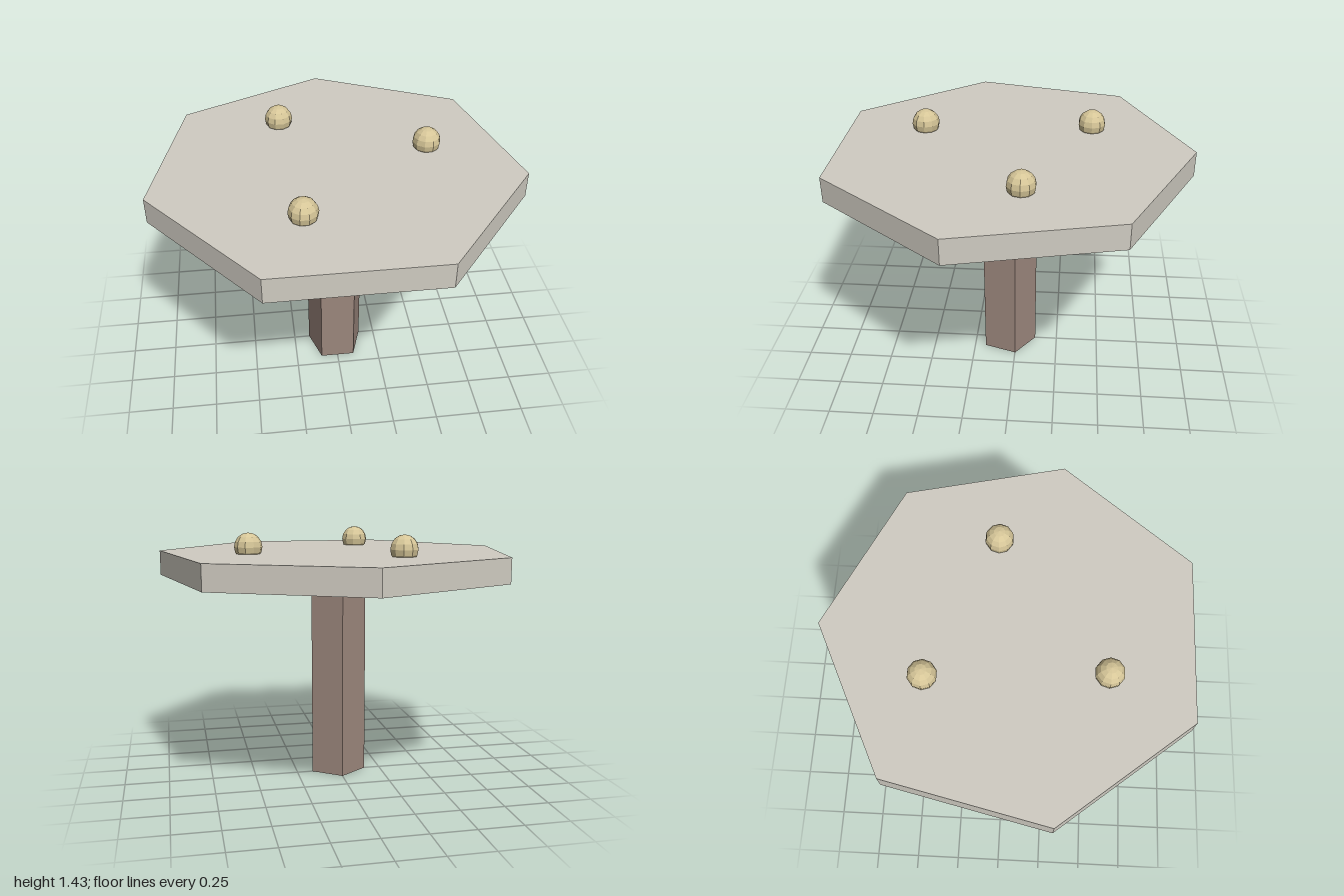
import * as THREE from 'three';

const CENTER_Z = 0.05;

function part(name, geometry, color, x, y, z) {
  const material = new THREE.MeshStandardMaterial({ color, flatShading: true });
  const mesh = new THREE.Mesh(geometry, material);
  mesh.name = name;
  mesh.position.set(x, y, z);
  return mesh;
}

// Upright prism with one corner pointing to the back
function prism(radius, height, sides) {
  return new THREE.CylinderGeometry(radius, radius, height, sides).rotateY(Math.PI);
}

export function createModel() {
  const model = new THREE.Group();
  model.name = 'pedestalTable';

  // Five-sided pedestal and seven-sided top
  const legHeight = 1.17, topThickness = 0.14;
  model.add(part('pedestal', prism(0.167, legHeight, 5), 0x9c877d, 0, legHeight / 2, CENTER_Z));
  model.add(part('tableTop', prism(1.0257, topThickness, 7), 0xd0ccc2, 0, legHeight + topThickness / 2, CENTER_Z));

  // Three balls partly sunk into the top
  const ball = new THREE.SphereGeometry(0.078, 10, 8);
  const spots = [[-0.27, -0.41], [0.52, -0.06], [-0.215, 0.535]];
  spots.forEach(([x, z], i) => {
    model.add(part(`ball${i + 1}`, ball, 0xd6c698, x, 1.348, z));
  });

  return model;
}
